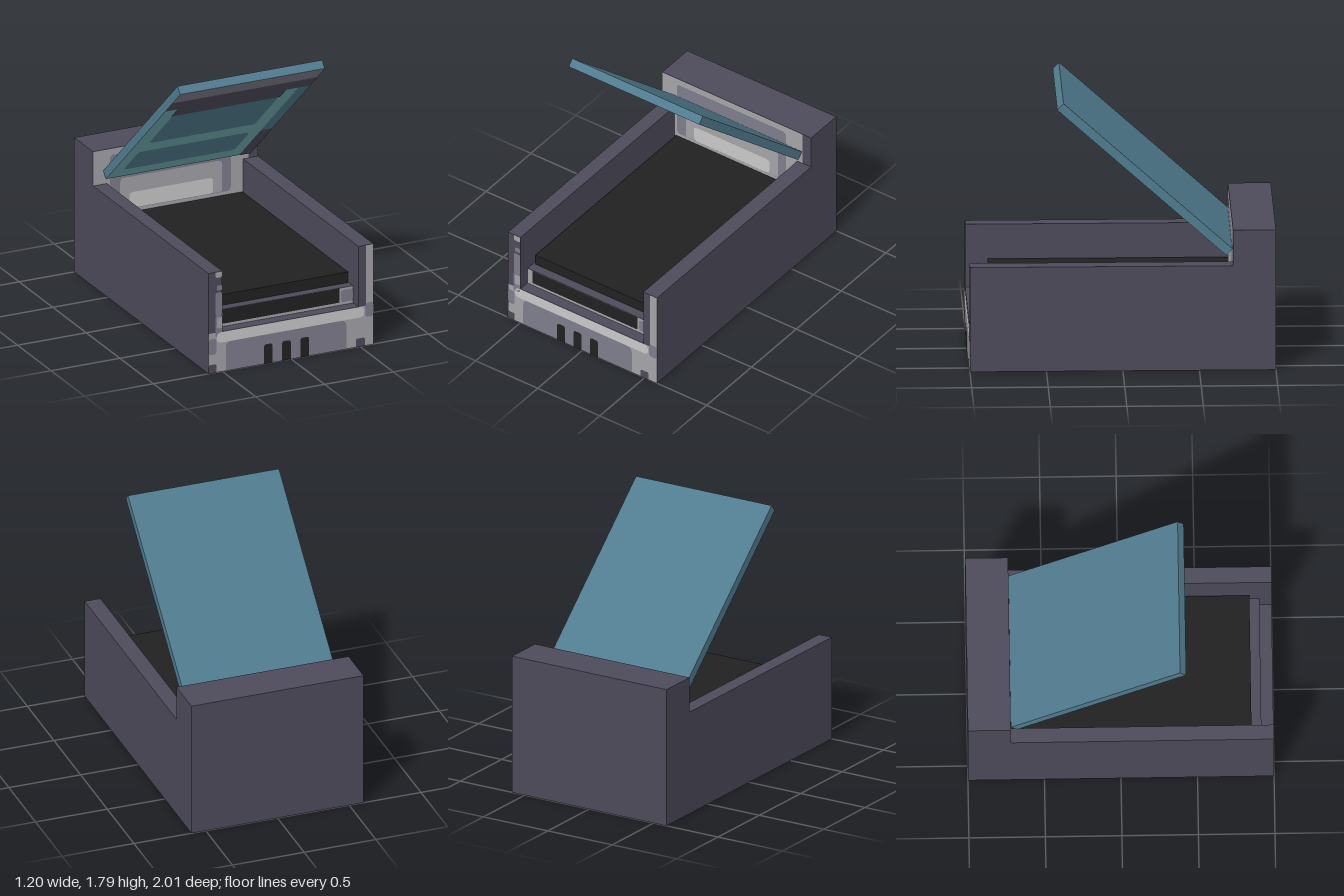
import * as THREE from 'three';

const mat = (name, color) => {
  const m = new THREE.MeshStandardMaterial({ color });
  m.name = name;
  return m;
};

export function createModel() {
  const dark = mat('dark violet grey', 0x4d4a5a);
  const mid = mat('mid violet grey', 0x7e7c8c);
  const light = mat('light grey', 0xa4a4a8);
  const pale = mat('pale grey', 0xc9c9c9);
  const black = mat('black', 0x212121);
  const blue = mat('blue', 0x507c8f);
  const teal = mat('teal', 0x70adb1);

  const model = new THREE.Group();
  model.name = 'openCase';

  // Box given by its limits on each axis
  const box = (name, material, x0, x1, y0, y1, z0, z1) => {
    const mesh = new THREE.Mesh(new THREE.BoxGeometry(x1 - x0, y1 - y0, z1 - z0), material);
    mesh.position.set((x0 + x1) / 2, (y0 + y1) / 2, (z0 + z1) / 2);
    mesh.name = name;
    model.add(mesh);
    return mesh;
  };

  // Flat painted panel facing +z; corner radii for top and bottom
  const panel = (parent, name, material, x0, x1, y0, y1, z, top = 0, bottom = top) => {
    const s = new THREE.Shape();
    s.moveTo(x0 + bottom, y0);
    s.lineTo(x1 - bottom, y0);
    if (bottom) s.quadraticCurveTo(x1, y0, x1, y0 + bottom);
    s.lineTo(x1, y1 - top);
    if (top) s.quadraticCurveTo(x1, y1, x1 - top, y1);
    s.lineTo(x0 + top, y1);
    if (top) s.quadraticCurveTo(x0, y1, x0, y1 - top);
    s.lineTo(x0, y0 + bottom);
    if (bottom) s.quadraticCurveTo(x0, y0, x0 + bottom, y0);
    const mesh = new THREE.Mesh(new THREE.ShapeGeometry(s, 4), material);
    mesh.position.z = z;
    mesh.name = name;
    parent.add(mesh);
  };

  // Case body
  box('rightWall', dark, -0.6, -0.5, 0, 0.705, -0.72, 1);
  box('leftWall', dark, 0.49, 0.6, 0, 0.705, -0.72, 1);
  box('backBlock', dark, -0.6, 0.6, 0, 0.945, -1, -0.72);
  box('frontLip', dark, -0.5, 0.49, 0, 0.28, 0.92, 1);
  box('innerStep', dark, -0.5, 0.49, 0, 0.4, -0.72, 0.92);
  box('bed', black, -0.485, 0.485, 0.4, 0.475, -0.72, 0.855);

  // Painted front face
  const front = new THREE.Group();
  front.name = 'frontPaint';
  model.add(front);
  const F = 1.002, F2 = 1.004, F3 = 1.006;
  panel(front, 'frontBase', light, -0.6, 0.6, 0, 0.28, F);
  panel(front, 'frontCentre', mid, -0.475, 0.4, 0, 0.205, F2, 0.04, 0);
  panel(front, 'frontStripe', pale, -0.54, 0.53, 0.205, 0.278, F2, 0.03);
  for (const x of [-0.2, -0.068, 0.065]) panel(front, 'slot', black, x, x + 0.064, 0, 0.137, F3, 0.02, 0);
  panel(front, 'rightFoot', dark, -0.6, -0.545, 0, 0.06, F2, 0.01, 0);
  panel(front, 'leftFoot', dark, 0.47, 0.535, 0, 0.06, F2, 0.015, 0);
  panel(front, 'rightCornerPatch', mid, -0.6, -0.545, 0.13, 0.24, F2, 0.02);
  panel(front, 'leftCornerPatch', mid, 0.54, 0.6, 0.2, 0.3, F2, 0.02);
  panel(front, 'leftWallEdge', light, 0.545, 0.6, 0.28, 0.705, F);
  panel(front, 'rightWallLowPatch', mid, -0.552, -0.5, 0.25, 0.4, F2, 0.015);
  panel(front, 'rightWallLowMark', light, -0.54, -0.5, 0.31, 0.385, F3, 0.01);
  panel(front, 'rightWallMidPatch', mid, -0.55, -0.5, 0.4, 0.56, F2, 0.015);
  panel(front, 'rightWallHighPatch', mid, -0.54, -0.5, 0.575, 0.61, F2, 0.01);
  panel(front, 'rightWallTopPatch', light, -0.55, -0.5, 0.665, 0.705, F2, 0, 0.015);

  // Painted step below the bed
  panel(front, 'stepFace', light, -0.5, 0.49, 0.28, 0.4, 0.922);
  panel(front, 'stepRecess', black, -0.46, 0.39, 0.3, 0.4, 0.924, 0, 0.01);
  panel(front, 'stepPatch', mid, 0.4, 0.49, 0.3, 0.385, 0.924, 0.02);

  // Painted inner face of the back block
  const back = new THREE.Group();
  back.name = 'backPaint';
  model.add(back);
  panel(back, 'backBase', light, -0.6, 0.53, 0.475, 0.945, -0.718);
  panel(back, 'backField', mid, -0.48, 0.4, 0.5, 0.9, -0.716, 0.03);
  panel(back, 'backInset', light, -0.405, 0.335, 0.505, 0.725, -0.714, 0.03, 0.01);
  panel(back, 'backBar', pale, -0.34, 0.27, 0.505, 0.615, -0.712, 0.03);

  // Raised lid, hinged at the back block
  const lid = new THREE.Group();
  lid.name = 'lid';
  lid.position.set(0, 1.2725, -0.146);
  lid.rotation.x = -Math.atan2(0.99, 1.105);
  model.add(lid);
  const slab = new THREE.Mesh(
    new THREE.BoxGeometry(1.052, 0.06, 1.484), [blue, blue, blue, teal, blue, blue]);
  slab.name = 'lidSlab';
  lid.add(slab);

  // Painted lid underside, measured upward from the hinge edge
  const under = new THREE.Group();
  under.name = 'lidUnderside';
  under.rotation.x = Math.PI / 2;
  under.position.set(0, -0.03, -0.742);
  lid.add(under);
  const U = 0.002, U2 = 0.004;
  panel(under, 'lidTopBand', mid, -0.526, 0.526, 1.335, 1.484, U);
  panel(under, 'lidDarkBand', dark, -0.526, 0.526, 1.19, 1.335, U);
  panel(under, 'lidDarkDrop', dark, -0.44, 0.35, 1.07, 1.2, U2, 0, 0.015);
  panel(under, 'lidUpperPanel', blue, -0.43, 0.34, 0.592, 1.085, U, 0, 0.03);
  panel(under, 'lidLowerPanel', blue, -0.45, 0.36, 0.135, 0.442, U, 0.035);
  panel(under, 'lidSideBlue', blue, 0.44, 0.526, 0.44, 1.19, U);
  panel(under, 'lidSideDark', dark, 0.44, 0.526, 0, 0.44, U, 0.01, 0);

  return model;
}
